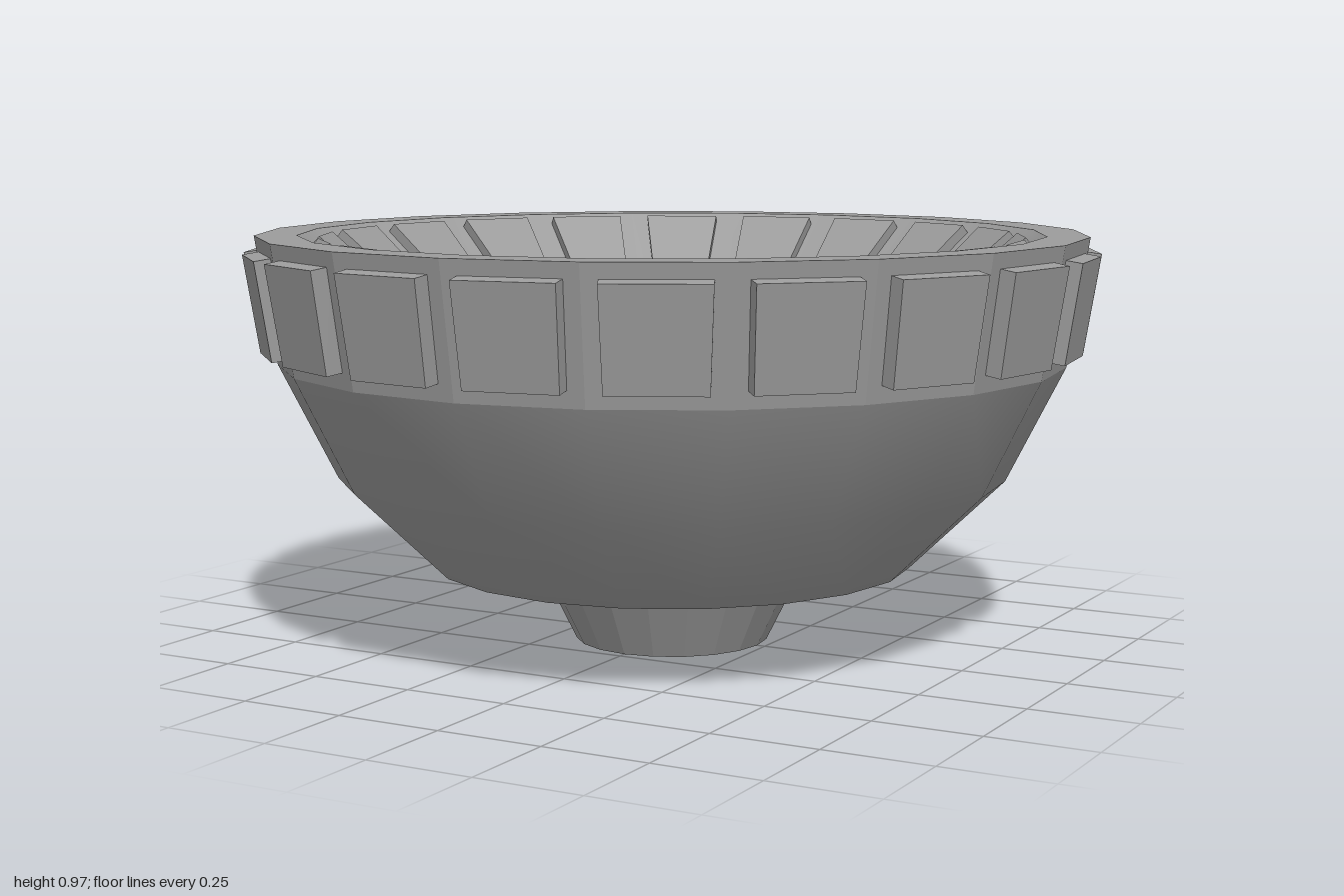
import * as THREE from 'three';

const SIDES = 20;
const APOTHEM = Math.cos(Math.PI / SIDES); // facet centre radius / corner radius

const smoothGrey = new THREE.MeshStandardMaterial({ color: 0x9c9c9c });
const flatGrey = new THREE.MeshStandardMaterial({ color: 0x9c9c9c, flatShading: true });

// One turned section of the body, from [radius, height] pairs
function turned(name, points, material) {
  const profile = points.map(([r, y]) => new THREE.Vector2(r, y));
  const mesh = new THREE.Mesh(new THREE.LatheGeometry(profile, SIDES), material);
  mesh.name = name;
  return mesh;
}

// Tapered slab lying on a sloping facet, from [distance, height] to [distance, height].
// facing = 1 raises it outward, -1 raises it toward the axis.
function slabGeometry([d0, y0], [d1, y1], w0, w1, thickness, facing) {
  const sunk = 0.01;
  const u = new THREE.Vector3(0, y1 - y0, d1 - d0);
  const length = u.length();
  u.normalize();
  const shape = new THREE.Shape([
    new THREE.Vector2(-w0 / 2, 0),
    new THREE.Vector2(w0 / 2, 0),
    new THREE.Vector2(w1 / 2, length),
    new THREE.Vector2(-w1 / 2, length),
  ]);
  const geometry = new THREE.ExtrudeGeometry(shape, { depth: thickness + sunk, bevelEnabled: false });
  geometry.translate(0, 0, -sunk);
  const side = new THREE.Vector3(facing, 0, 0);
  const normal = new THREE.Vector3().crossVectors(side, u);
  geometry.applyMatrix4(new THREE.Matrix4().makeBasis(side, u, normal).setPosition(0, y0, d0));
  return geometry;
}

// Repeats a slab on every facet
function ring(name, itemName, geometry) {
  const group = new THREE.Group();
  group.name = name;
  for (let i = 0; i < SIDES; i++) {
    const mesh = new THREE.Mesh(geometry, flatGrey);
    mesh.name = itemName;
    mesh.rotation.y = ((i + 0.5) * 2 * Math.PI) / SIDES;
    group.add(mesh);
  }
  return group;
}

export function createModel() {
  const model = new THREE.Group();
  model.name = 'ribbedBowl';

  // Foot and the hollow around it
  model.add(turned('foot', [[0, 0], [0.23, 0], [0.3, 0.142]], flatGrey));
  model.add(turned('underside', [[0.3, 0.142], [0.57, 0.295]], smoothGrey));
  model.add(turned('undersideWall', [[0.57, 0.295], [0.57, 0.187]], flatGrey));

  // Outer shell and rim
  model.add(turned('bowl', [[0.57, 0.187], [0.79, 0.4], [0.925, 0.67]], smoothGrey));
  model.add(turned('rim', [[0.925, 0.67], [0.973, 0.97], [0.875, 0.97]], flatGrey));

  // Conical inside and flat floor
  const coneY = (d) => 0.97 - ((0.875 - d / APOTHEM) * 0.51) / 0.59;
  model.add(turned('innerCone', [[0.875, 0.97], [0.285, 0.46]], smoothGrey));
  model.add(turned('floor', [[0.285, 0.46], [0, 0.46]], flatGrey));

  // Raised blocks around the rim
  const rimD = (y) => (0.925 + ((y - 0.67) * 0.048) / 0.3) * APOTHEM;
  model.add(ring('rimBlocks', 'rimBlock',
    slabGeometry([rimD(0.708), 0.708], [rimD(0.935), 0.935], 0.215, 0.23, 0.038, 1)));

  // Raised panels lining the inside
  model.add(ring('innerPanels', 'innerPanel',
    slabGeometry([0.308, coneY(0.308)], [0.837, coneY(0.837)], 0.03, 0.185, 0.025, -1)));

  return model;
}
